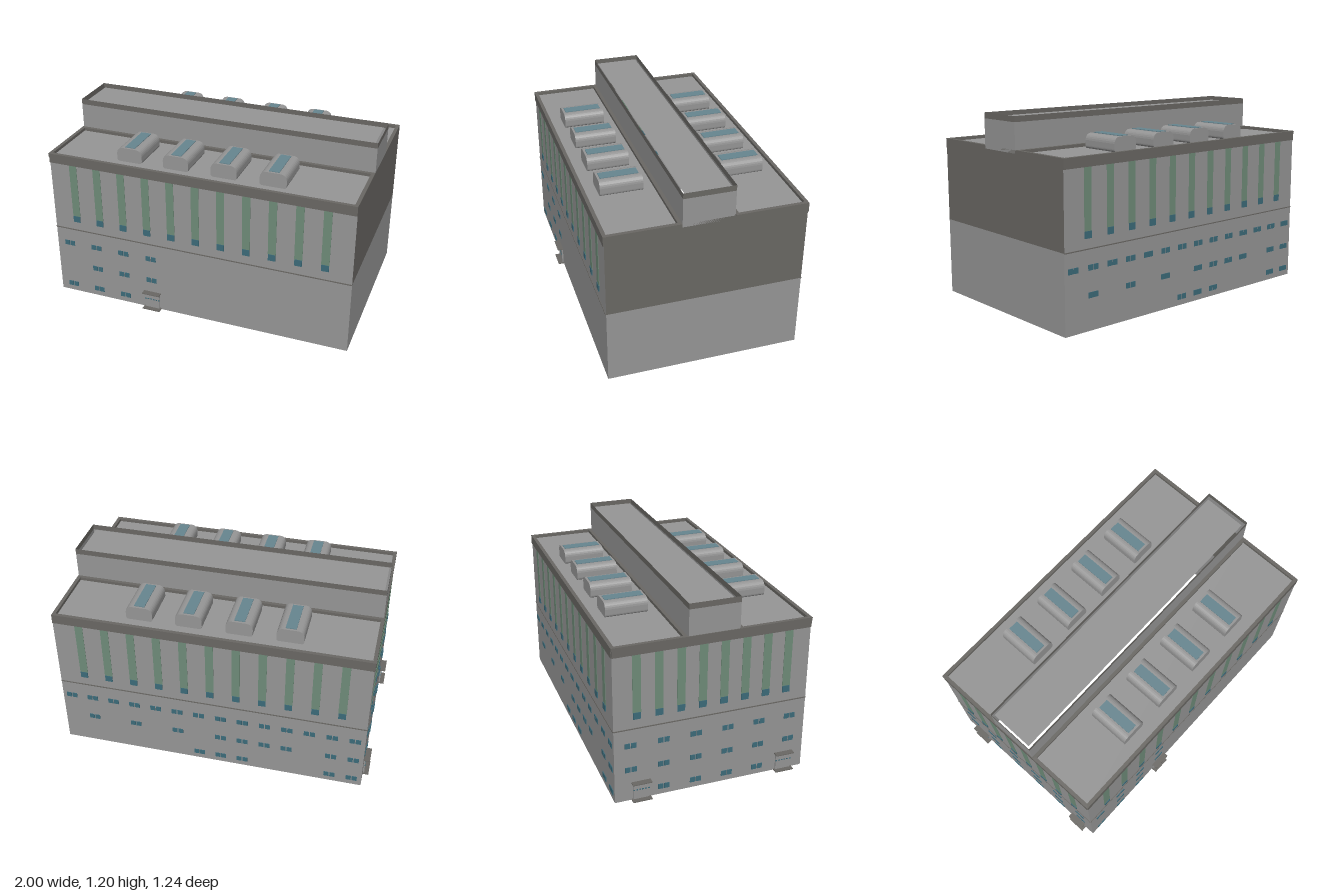
import * as THREE from 'three';

const flat = (name, color, side = THREE.FrontSide) => {
  const m = new THREE.MeshStandardMaterial({ color, side });
  m.name = name;
  return m;
};

export function createModel() {
  const wall = flat('concrete grey', 0x969696, THREE.DoubleSide);
  const dark = flat('dark trim', 0x6a6864, THREE.DoubleSide);
  const green = flat('green glazing', 0x6f8c79);
  const teal = flat('teal glass', 0x3c6b7a);
  const skyGlass = flat('skylight glass', 0x678690);

  const model = new THREE.Group();
  model.name = 'building';
  const X0 = -0.96, X1 = 1, Z0 = -0.615, Z1 = 0.585;
  const PZ0 = -0.17, PZ1 = 0.14; // raised centre block

  const add = (parent, name, geo, mat, x, y, z) => {
    const m = new THREE.Mesh(geo, mat);
    m.name = name;
    m.position.set(x, y, z);
    parent.add(m);
    return m;
  };
  const box = (parent, name, mat, w, h, d, x, y, z) =>
    add(parent, name, new THREE.BoxGeometry(w, h, d), mat, x, y, z);

  // A facade group: local x runs along the wall, local z points outwards
  const facade = (name, x, z, angle) => {
    const g = new THREE.Group();
    g.name = name;
    g.position.set(x, 0, z);
    g.rotation.y = angle;
    model.add(g);
    return g;
  };
  const panel = (g, name, mat, u0, u1, y0, y1) =>
    add(g, name, new THREE.PlaneGeometry(u1 - u0, y1 - y0), mat, (u0 + u1) / 2, (y0 + y1) / 2, 0);

  // Small window of two panes
  const smallWindow = (g, u, y) => {
    for (const s of [-1, 1]) box(g, 'windowPane', teal, 0.032, 0.033, 0.008, u + s * 0.019, y, 0);
  };
  // Tall green strip with a teal window at its foot
  const tallWindow = (g, u) => {
    box(g, 'tallStrip', green, 0.05, 0.36, 0.006, u, 0.76, 0);
    box(g, 'tallWindowFoot', teal, 0.046, 0.042, 0.012, u, 0.56, 0);
  };
  // Entrance with canopy, step and a row of little panes
  const entrance = (g, u) => {
    const d = new THREE.Group();
    d.name = 'entrance';
    d.position.x = u;
    g.add(d);
    box(d, 'door', wall, 0.1, 0.112, 0.01, 0, 0.06, 0.004);
    box(d, 'canopy', dark, 0.118, 0.005, 0.037, 0, 0.1185, 0.0185);
    box(d, 'step', dark, 0.118, 0.006, 0.037, 0, 0.003, 0.0185);
    for (let i = 0; i < 6; i++)
      box(d, 'doorPane', teal, 0.01, 0.007, 0.004, -0.045 + i * 0.018, 0.068, 0.009);
  };
  // Wall, belt line and cornice band
  const dress = (g, u0, u1) => {
    panel(g, 'wall', wall, u0, u1, 0, 1);
    const w = u1 - u0, c = (u0 + u1) / 2;
    box(g, 'beltLine', dark, w, 0.006, 0.006, c, 0.478, 0.001);
    box(g, 'corniceBand', dark, w, 0.06, 0.008, c, 0.97, 0.001);
  };

  const front = facade('frontFacade', 0, Z1, 0);
  const back = facade('backFacade', 0, Z0, Math.PI);
  const right = facade('rightFacade', X0, 0, -Math.PI / 2);
  const left = facade('leftFacade', X1, 0, Math.PI / 2);
  dress(front, X0, X1);
  dress(back, -X1, -X0);
  dress(right, Z0, Z1);
  panel(left, 'lowerWall', wall, -Z1, -Z0, 0, 0.478);
  panel(left, 'upperDarkWall', dark, -Z1, -Z0, 0.478, 1);

  // Tall windows
  for (let i = 0; i < 11; i++) {
    const x = -0.803 + i * 0.1637;
    tallWindow(front, x);
    tallWindow(back, -x);
  }
  for (let i = 0; i < 8; i++) tallWindow(right, -0.475 + i * 0.132);

  // Small windows: column numbers per row
  const rows = [0.37, 0.21, 0.053];
  const place = (g, start, step, columns) =>
    columns.forEach((cols, r) => cols.forEach((c) => smallWindow(g, start + c * step, rows[r])));
  place(front, -0.872, 0.1925, [[0, 1, 2, 3], [1, 2, 3], [0, 1, 2]]);
  place(back, -0.94, 0.1413, [
    [0, 1, 2, 3, 4, 5, 6, 7, 8, 9, 10, 11, 12, 13],
    [1, 3, 5, 7, 8, 9, 10, 12, 13],
    [6, 7, 8, 12, 13],
  ]);
  place(right, -0.515, 0.2, [[0, 1, 2, 3, 4, 5], [0, 1, 2, 3, 4, 5], [1, 2, 3, 4]]);

  // Entrances
  entrance(front, -0.292);
  entrance(right, -0.455);
  entrance(right, 0.46);

  // Flat surface facing up
  const deck = (name, x0, x1, z0, z1, y) => {
    const m = add(model, name, new THREE.PlaneGeometry(x1 - x0, z1 - z0), wall,
      (x0 + x1) / 2, y, (z0 + z1) / 2);
    m.rotation.x = -Math.PI / 2;
  };

  // Skylight body: rounded section swept along z
  const section = new THREE.Shape();
  section.moveTo(-0.07, 0);
  section.lineTo(0.07, 0);
  section.quadraticCurveTo(0.083, 0.002, 0.083, 0.02);
  section.lineTo(0.083, 0.05);
  section.quadraticCurveTo(0.08, 0.087, 0.045, 0.09);
  section.lineTo(-0.045, 0.09);
  section.quadraticCurveTo(-0.08, 0.087, -0.083, 0.05);
  section.lineTo(-0.083, 0.02);
  section.quadraticCurveTo(-0.083, 0.002, -0.07, 0);
  const skylight = new THREE.ExtrudeGeometry(section, { depth: 0.262, bevelEnabled: false, curveSegments: 6 });
  skylight.translate(0, 0, -0.131);

  // Two low roofs with parapet frames and skylights
  const roofY = 0.982;
  for (const [z0, z1, zs] of [[Z0 - 0.005, -0.176, -0.39], [PZ1, Z1 + 0.005, 0.361]]) {
    deck('lowRoof', X0, X1, z0 + 0.005, z1 - 0.005, roofY);
    const frame = new THREE.Shape([[X0 - 0.006, z0], [X1, z0], [X1, z1], [X0 - 0.006, z1]]
      .map(([x, z]) => new THREE.Vector2(x, -z)));
    const a = X0 + 0.016, b = X1 - 0.022;
    frame.holes.push(new THREE.Path([[a, z0 + 0.022], [b, z0 + 0.022], [b, z1 - 0.022], [a, z1 - 0.022]]
      .map(([x, z]) => new THREE.Vector2(x, -z))));
    const geo = new THREE.ExtrudeGeometry(frame, { depth: 0.02, bevelEnabled: false });
    add(model, 'parapet', geo, dark, 0, 0.981, 0).rotation.x = -Math.PI / 2;
    for (const x of [-0.452, -0.145, 0.165, 0.473]) {
      add(model, 'skylightBody', skylight, wall, x, roofY, zs);
      box(model, 'skylightGlass', skyGlass, 0.065, 0.008, 0.234, x, roofY + 0.09, zs);
    }
  }

  // Raised centre block: thin walls, dark upper band, roof set in from the walls
  const cz = (PZ0 + PZ1) / 2, cx = (X0 + X1) / 2;
  const sides = [
    [cx, PZ1, 0, X1 - X0], [cx, PZ0, Math.PI, X1 - X0],
    [X1, cz, Math.PI / 2, PZ1 - PZ0], [X0, cz, -Math.PI / 2, PZ1 - PZ0],
  ];
  for (const [x, z, angle, w] of sides) {
    const g = facade('centreBlockSide', x, z, angle);
    panel(g, 'centreWall', wall, -w / 2, w / 2, 0.98, 1.16);
    panel(g, 'centreBand', dark, -w / 2, w / 2, 1.16, 1.195);
  }
  deck('centreRoof', -0.945, 0.975, -0.155, 0.12, 1.17);

  return model;
}
